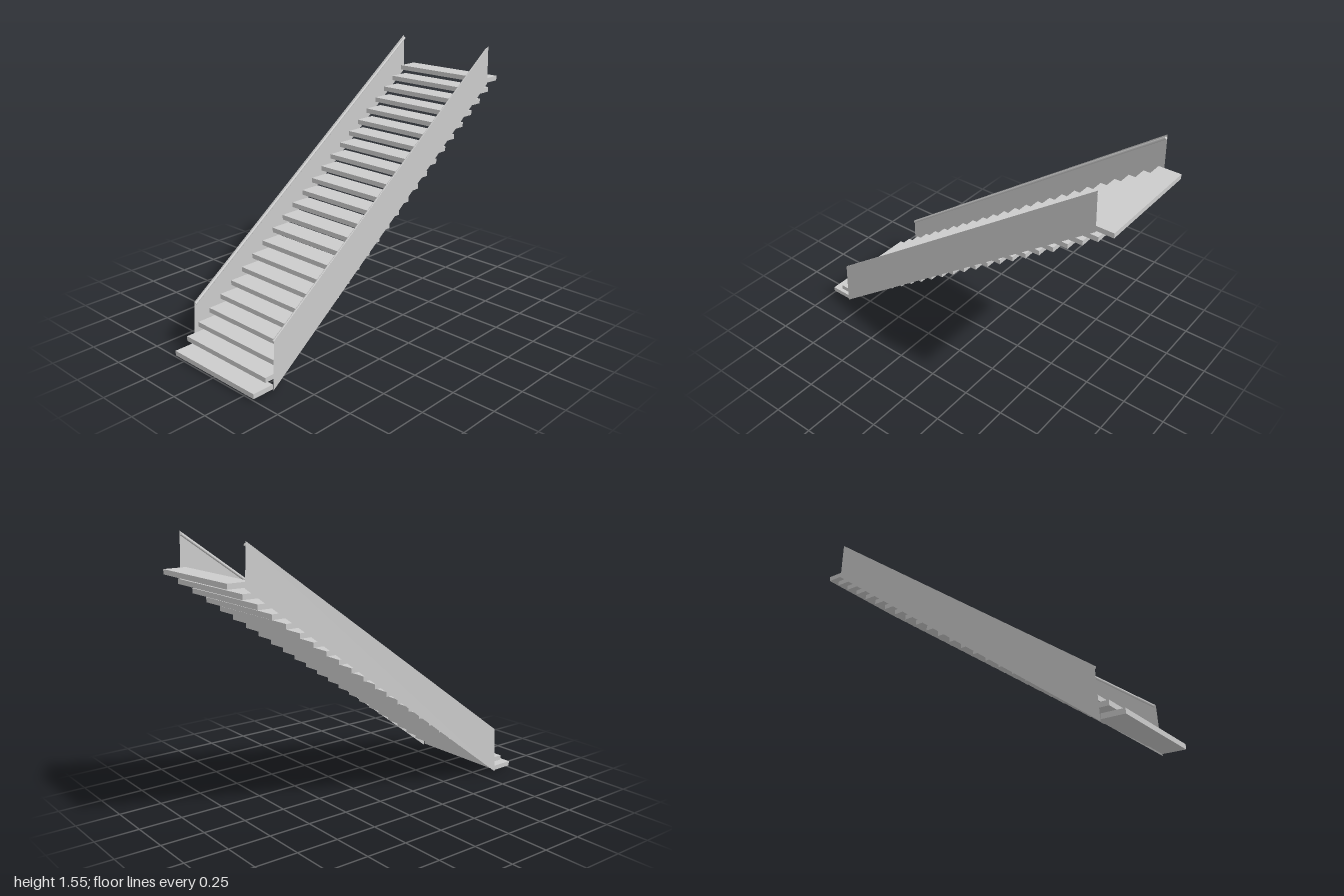
import * as THREE from 'three';

const TREADS = 24;
const RISE = 0.0574;
const RUN = 0.0813;
const HALF_WIDTH = 0.325;

export function createModel() {
  const stairs = new THREE.Group();
  stairs.name = 'staircase';
  const grey = new THREE.MeshStandardMaterial({ color: 0xcccccc, flatShading: true });
  const sheet = new THREE.MeshStandardMaterial({ color: 0xcccccc, side: THREE.DoubleSide });

  // Overlapping open treads, climbing towards the back
  const treadGeometry = new THREE.BoxGeometry(2 * HALF_WIDTH - 0.004, 0.028, 0.13);
  for (let i = 0; i < TREADS; i++) {
    const tread = new THREE.Mesh(treadGeometry, grey);
    tread.name = 'tread';
    tread.position.set(0, 0.024 + i * RISE, 0.935 - i * RUN);
    stairs.add(tread);
  }

  // Side panel outline, drawn as (-z, y)
  const outline = new THREE.Shape([
    [-0.87, 0], [0.903, 1.325], [0.895, 1.55], [-0.855, 0.28],
  ].map(([x, y]) => new THREE.Vector2(x, y)));
  const panelGeometry = new THREE.ShapeGeometry(outline).rotateY(Math.PI / 2);

  // Thin rail along the inner top edge of each panel
  const railLine = new THREE.LineCurve3(
    new THREE.Vector3(0, 0.272, 0.852), new THREE.Vector3(0, 1.533, -0.893));
  const length = railLine.getLength();
  const railGeometry = new THREE.CylinderGeometry(0.008, 0.008, length, 12);
  const slope = new THREE.Quaternion().setFromUnitVectors(
    new THREE.Vector3(0, 1, 0), railLine.getTangent(0));

  for (const [side, label] of [[1, 'left'], [-1, 'right']]) {
    const panel = new THREE.Mesh(panelGeometry, sheet);
    panel.name = label + 'SidePanel';
    panel.position.x = side * HALF_WIDTH;

    const rail = new THREE.Mesh(railGeometry, grey);
    rail.name = label + 'Rail';
    rail.quaternion.copy(slope);
    rail.position.copy(railLine.getPoint(0.5));
    rail.position.x = side * (HALF_WIDTH - 0.008);
    stairs.add(panel, rail);
  }

  return stairs;
}
